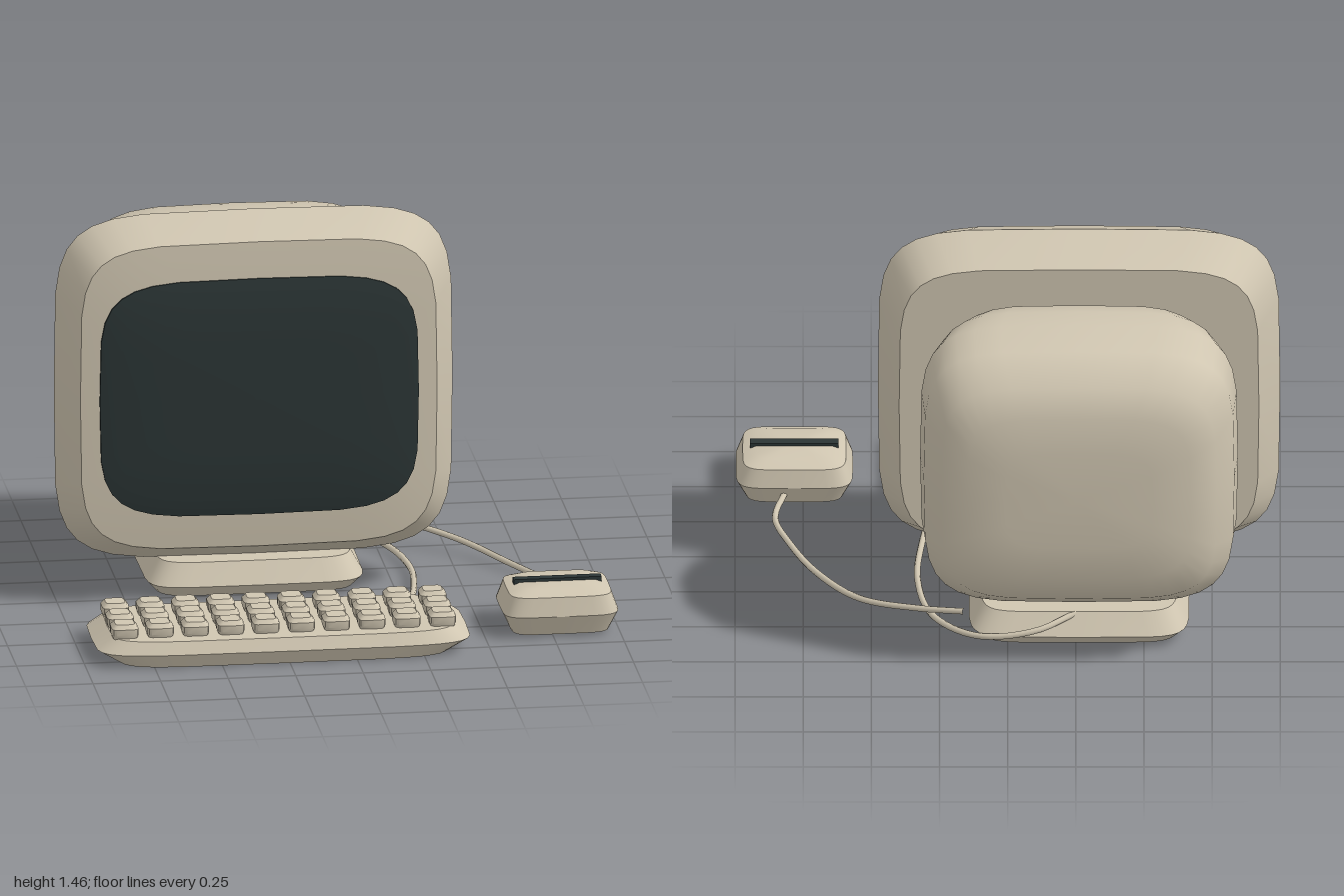
import * as THREE from 'three';
import { toCreasedNormals } from 'three/addons/utils/BufferGeometryUtils.js';

const beige = new THREE.MeshStandardMaterial({ color: 0xd0c6b1 });
beige.name = 'beige plastic';
const dark = new THREE.MeshStandardMaterial({ color: 0x2b3535 });
dark.name = 'dark glass';

// Rounded-rectangle rings [position, halfWidth, halfHeight], ascending along z
// (or along y when upright), skinned and capped. n sets how square the corners are.
function loft(rings, n, crease, upright = false, sides = 32) {
  const pos = [], idx = [];
  const bend = (v) => Math.abs(v) < 1e-6 ? 0 : Math.sign(v) * Math.abs(v) ** (2 / n);
  for (const [z, a, b] of rings) {
    for (let j = 0; j < sides; j++) {
      const t = (j / sides) * Math.PI * 2;
      pos.push(a * bend(Math.cos(t)), b * bend(Math.sin(t)), z);
    }
  }
  const last = (rings.length - 1) * sides;
  const c0 = rings.length * sides;
  pos.push(0, 0, rings[0][0], 0, 0, rings[rings.length - 1][0]);
  for (let j = 0; j < sides; j++) {
    const k = (j + 1) % sides;
    for (let r = 0; r < last; r += sides) {
      idx.push(r + j, r + k, r + sides + k, r + j, r + sides + k, r + sides + j);
    }
    idx.push(c0, k, j, c0 + 1, last + j, last + k);
  }
  const g = new THREE.BufferGeometry();
  g.setAttribute('position', new THREE.Float32BufferAttribute(pos, 3));
  g.setIndex(idx);
  if (upright) g.rotateX(-Math.PI / 2);
  return toCreasedNormals(g, crease);
}

function add(parent, name, geometry, material, x = 0, y = 0, z = 0) {
  const m = new THREE.Mesh(geometry, material);
  m.name = name;
  m.position.set(x, y, z);
  parent.add(m);
  return m;
}

function cable(parent, name, points) {
  const curve = new THREE.CatmullRomCurve3(points.map((p) => new THREE.Vector3(...p)));
  add(parent, name, new THREE.TubeGeometry(curve, 40, 0.012, 8), beige);
}

export function createModel() {
  const model = new THREE.Group();
  model.name = 'desktopComputer';
  const cx = -0.262;

  // Monitor: faceted front frame, domed screen, rounded rear housing
  const monitor = new THREE.Group();
  monitor.name = 'monitor';
  model.add(monitor);
  add(monitor, 'bezel', loft([
    [-0.25, 0.66, 0.585], [-0.09, 0.738, 0.664], [0.066, 0.66, 0.585], [0.084, 0.48, 0.4],
  ], 5.5, 0.4), beige, cx, 0.792, 0);
  add(monitor, 'screen', loft([
    [0.05, 0.59, 0.453], [0.085, 0.59, 0.453], [0.098, 0.52, 0.39], [0.105, 0.3, 0.22],
  ], 4.8, 0.6), dark, cx, 0.788, 0);
  add(monitor, 'rearHousing', loft([
    [-0.865, 0.27, 0.2], [-0.85, 0.41, 0.34], [-0.81, 0.505, 0.45], [-0.69, 0.57, 0.535],
    [-0.53, 0.583, 0.552], [-0.42, 0.54, 0.545], [-0.35, 0.48, 0.53], [-0.25, 0.38, 0.45],
  ], 4.6, 1.0), beige, cx, 0.755, 0);

  // Pedestal
  const stand = new THREE.Group();
  stand.name = 'stand';
  model.add(stand);
  add(stand, 'standBase', loft([
    [0.012, 0.37, 0.33], [0.055, 0.405, 0.365], [0.135, 0.36, 0.315],
  ], 7, 0.4, true), beige, cx, 0, -0.302);
  add(stand, 'standNeck', loft([
    [0.125, 0.17, 0.15], [0.175, 0.19, 0.167], [0.3, 0.19, 0.167],
  ], 6, 0.5, true), beige, cx, 0, -0.348);

  // Keyboard with three rows of ten keys
  const keyboard = new THREE.Group();
  keyboard.name = 'keyboard';
  model.add(keyboard);
  add(keyboard, 'keyboardCase', loft([
    [0, 0.61, 0.238], [0.052, 0.694, 0.26], [0.097, 0.635, 0.235],
  ], 6, 0.4, true), beige, cx, 0, 0.605);
  const key = loft([
    [0.085, 0.041, 0.041], [0.108, 0.05, 0.05], [0.132, 0.05, 0.05], [0.148, 0.036, 0.036],
  ], 5, 0.6, true, 16);
  for (let row = 0; row < 3; row++) {
    for (let col = 0; col < 10; col++) {
      add(keyboard, 'key', key, beige, cx + (col - 4.5) * 0.1305, 0, 0.603 + (row - 1) * 0.131);
    }
  }

  // Mouse with a long dark button bar
  const mouse = new THREE.Group();
  mouse.name = 'mouse';
  mouse.position.set(0.782, 0, 0.516);
  model.add(mouse);
  add(mouse, 'mouseBody', loft([
    [0.01, 0.18, 0.142], [0.085, 0.215, 0.172], [0.155, 0.19, 0.156], [0.175, 0.14, 0.11],
  ], 5.5, 0.45, true), beige);
  add(mouse, 'mouseButton', new THREE.BoxGeometry(0.325, 0.024, 0.036), dark, 0, 0.174, 0);

  // Cables running back to the stand
  cable(model, 'mouseCable', [
    [0.815, 0.05, 0.38], [0.853, 0.035, 0.22], [0.8, 0.028, 0.05], [0.7, 0.028, -0.16],
    [0.54, 0.055, -0.39], [0.33, 0.098, -0.53], [0.16, 0.135, -0.615],
  ]);
  cable(model, 'keyboardCable', [
    [0.255, 0.05, 0.37], [0.313, 0.03, 0.06], [0.33, 0.022, -0.2], [0.27, 0.026, -0.47],
    [0.1, 0.05, -0.65], [-0.1, 0.09, -0.68], [-0.25, 0.125, -0.61],
  ]);
  return model;
}
